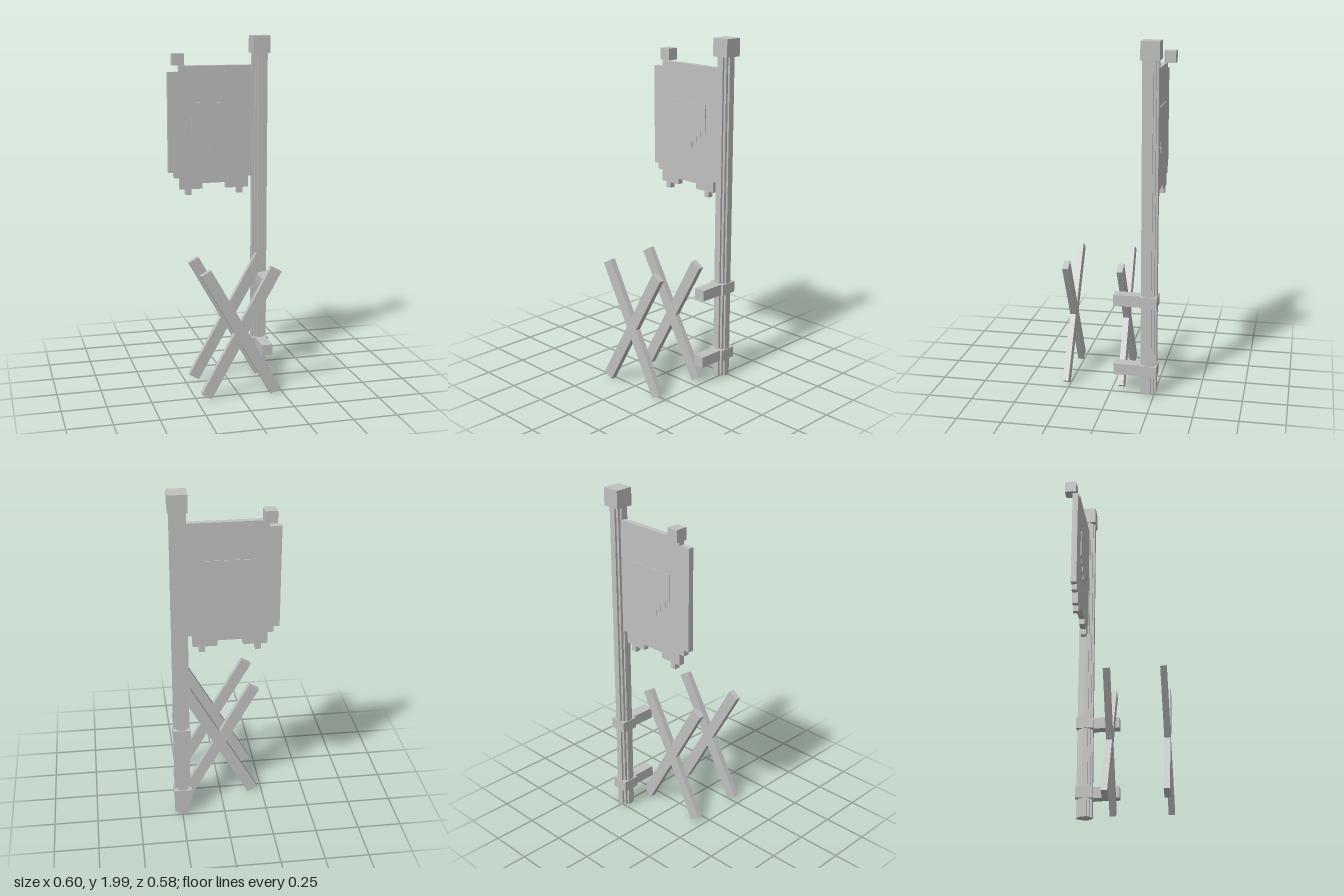
import * as THREE from 'three';

export function createModel() {
  const model = new THREE.Group();
  const grey = new THREE.MeshStandardMaterial({ color: 0xc0c0c0 });
  grey.name = 'plain grey';

  const add = (name, geometry, parent = model) => {
    const mesh = new THREE.Mesh(geometry, grey);
    mesh.name = name;
    parent.add(mesh);
    return mesh;
  };
  // Box given by its limits on each axis
  const box = (name, x0, x1, y0, y1, z0, z1, parent) => {
    const mesh = add(name, new THREE.BoxGeometry(x1 - x0, y1 - y0, z1 - z0), parent);
    mesh.position.set((x0 + x1) / 2, (y0 + y1) / 2, (z0 + z1) / 2);
    return mesh;
  };
  // Flat outline extruded between two depths
  const plate = (name, points, z0, z1, parent) => {
    const shape = new THREE.Shape(points.map(([x, y]) => new THREE.Vector2(x, y)));
    const geometry = new THREE.ExtrudeGeometry(shape, { depth: z1 - z0, bevelEnabled: false });
    add(name, geometry, parent).position.z = z0;
  };

  // Pole: crossed boxes make the notched, stepped section
  const px = 0.246, pz = -0.218;
  const pole = new THREE.Group();
  pole.name = 'pole';
  model.add(pole);
  for (const [w, d] of [[0.09, 0.036], [0.066, 0.066], [0.036, 0.09]]) {
    box('poleShaft', px - w / 2, px + w / 2, 0.02, 1.9, pz - d / 2, pz + d / 2, pole);
  }
  box('poleCap', 0.196, 0.298, 1.9, 2, -0.271, -0.168, pole);

  // Brackets: collar around the pole with an arm towards the legs
  for (const y of [0.125, 0.535]) {
    const bracket = new THREE.Group();
    bracket.name = 'bracket';
    model.add(bracket);
    box('collar', 0.197, 0.296, y, y + 0.064, -0.267, -0.168, bracket);
    box('bracketArm', 0.215, 0.282, y, y + 0.064, -0.168, -0.02, bracket);
  }

  // Banner with a ragged lower edge
  const banner = new THREE.Group();
  banner.name = 'banner';
  model.add(banner);
  plate('bannerCloth', [
    [-0.3, 1.797], [-0.3, 1.217], [-0.267, 1.217], [-0.267, 1.183], [-0.234, 1.183],
    [-0.234, 1.117], [-0.2, 1.117], [-0.2, 1.083], [-0.167, 1.083], [-0.167, 1.117],
    [-0.1, 1.117], [-0.1, 1.15], [0.041, 1.15], [0.041, 1.117], [0.108, 1.117],
    [0.108, 1.083], [0.142, 1.083], [0.142, 1.117], [0.176, 1.117], [0.176, 1.183],
    [0.212, 1.183], [0.212, 1.832], [-0.234, 1.832], [-0.234, 1.797],
  ], -0.237, -0.205, banner);

  // Stepped shield, slightly raised on both faces
  const cx = -0.025, step = 0.0343, shield = [];
  for (let i = 0; i < 4; i++) {
    const x = (4 - i) * step;
    shield.push([x, i ? 1.46 - (i - 1) * step : 1.62], [x, 1.46 - i * step]);
  }
  const mirrored = shield.map(([x, y]) => [-x, y]).reverse();
  plate('shield', [...shield, ...mirrored].map(([x, y]) => [x + cx, y]), -0.241, -0.2, banner);
  box('bannerKnob', -0.266, -0.199, 1.832, 1.9, -0.289, -0.222, banner);

  // Crossed legs, feet splayed slightly outwards
  for (const [name, z, lean] of [['frontLegs', 0.267, -0.009], ['rearLegs', -0.05, 0.009]]) {
    const legs = new THREE.Group();
    legs.name = name;
    legs.position.set(0.007, 0.379, z);
    legs.rotation.x = lean;
    model.add(legs);
    for (const side of [-1, 1]) {
      const leg = add('leg', new THREE.BoxGeometry(0.066, 0.817, 0.033), legs);
      leg.rotation.z = side * 0.515;
    }
  }
  return model;
}
